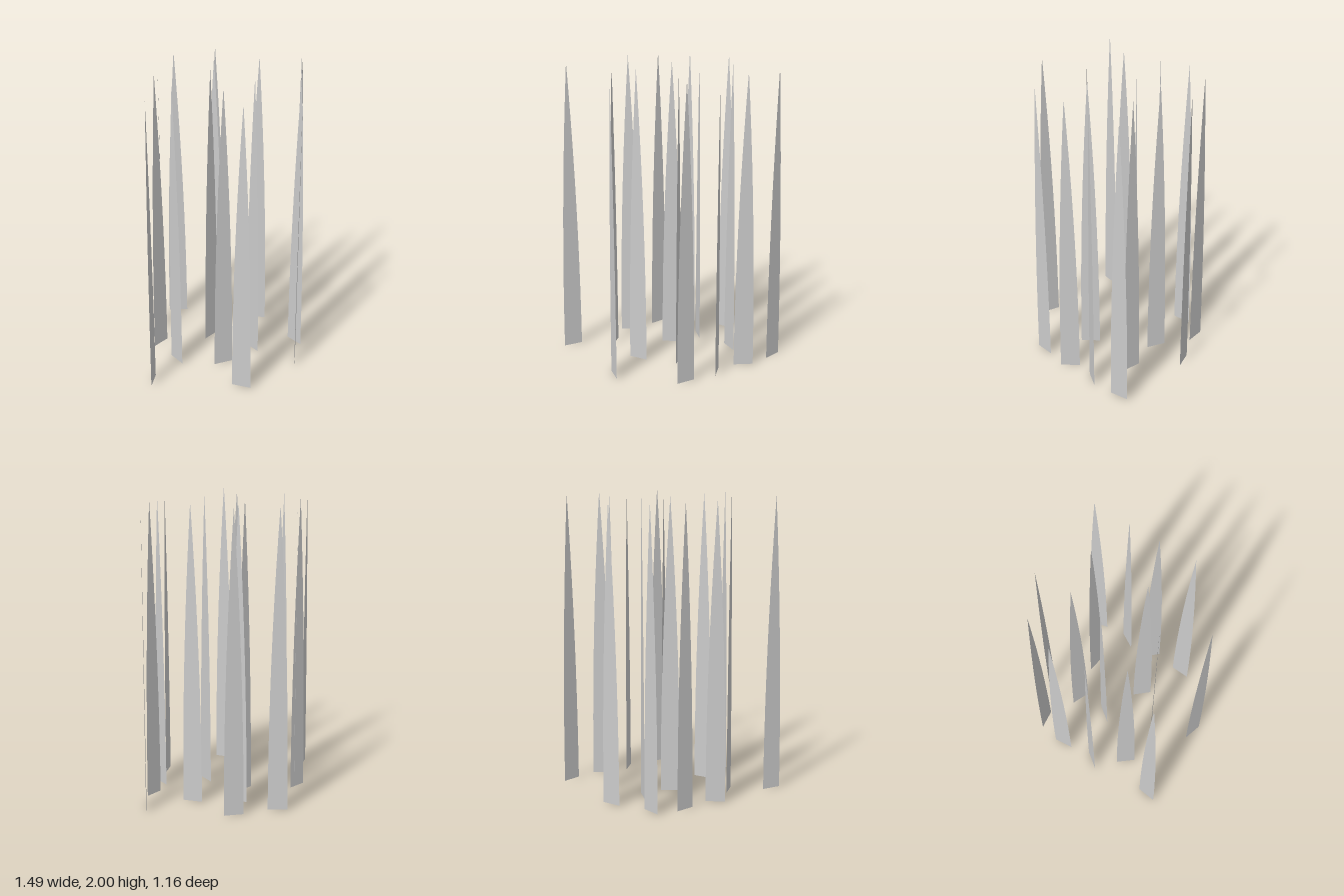
import * as THREE from 'three';

// Flat upright blade: full width at the root, narrowing ever faster to a point
function bladeGeometry(width, height, segments) {
  const shape = new THREE.Shape();
  const half = (t) => (width / 2) * (1 - t * t);
  shape.moveTo(-half(0), 0);
  shape.lineTo(half(0), 0);
  for (let i = 1; i < segments; i++) shape.lineTo(half(i / segments), (height * i) / segments);
  shape.lineTo(0, height);
  for (let i = segments - 1; i > 0; i--) shape.lineTo(-half(i / segments), (height * i) / segments);
  return new THREE.ShapeGeometry(shape);
}

// Each blade: root x, root z, and the direction (dx, dz) its width runs along
const BLADES = [
  [0, -0.115, 1, 0],
  [-0.305, -0.325, 1, 0],
  [-0.107, -0.478, 0.095, -0.087],
  [0.112, -0.533, 0.088, 0.095],
  [0.38, -0.395, 0.11, 0.07],
  [0.181, -0.237, 0.03, 0.126],
  [-0.397, -0.093, 0.03, -0.126],
  [-0.69, -0.041, 0.113, -0.065],
  [0.402, -0.028, 0.062, 0.114],
  [0.698, 0.103, 0.086, -0.097],
  [0.495, 0.257, 0.129, -0.015],
  [0.055, 0.209, 0.027, -0.127],
  [-0.219, 0.178, 0.115, 0.06],
  [0.317, 0.384, 0.022, -0.128],
  [-0.364, 0.453, 0.045, 0.122],
  [0.113, 0.541, 0.108, -0.073],
];

export function createModel() {
  const group = new THREE.Group();
  group.name = 'grassTuft';
  const material = new THREE.MeshStandardMaterial({ color: 0xcccccc, side: THREE.DoubleSide });
  const geometry = bladeGeometry(0.13, 2, 10);

  BLADES.forEach(([x, z, dx, dz], i) => {
    const blade = new THREE.Mesh(geometry, material);
    blade.name = `grassBlade${i + 1}`;
    blade.position.set(x, 0, z);
    blade.rotation.y = Math.atan2(-dz, dx);
    group.add(blade);
  });
  return group;
}
